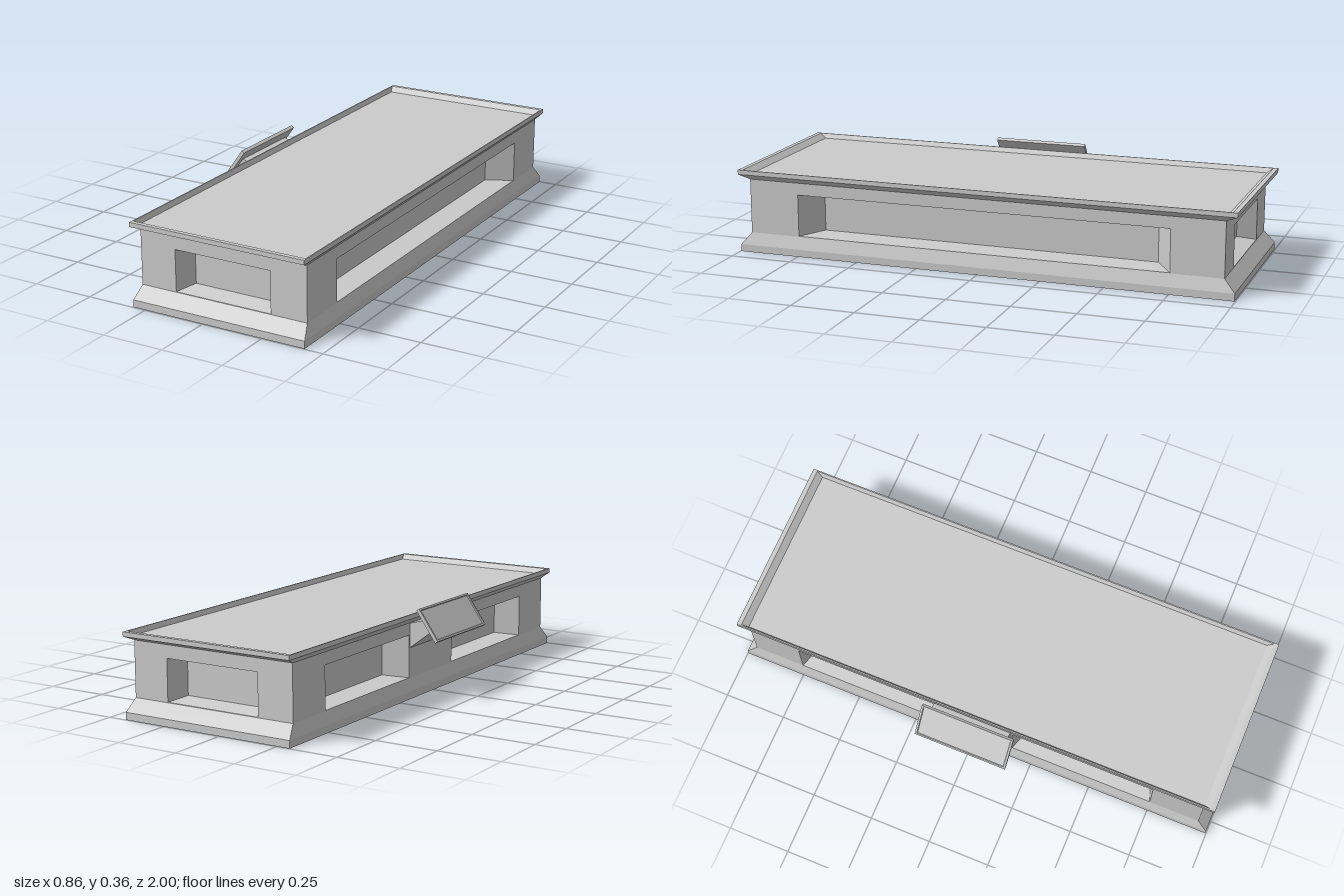
import * as THREE from 'three';

const material = new THREE.MeshStandardMaterial({
  color: 0xcccccc, flatShading: true, side: THREE.DoubleSide,
});
const CENTER_X = 0.061, HALF_X = 0.35, HALF_Z = 0.955;
const WALL_BOTTOM = 0.078, WALL_TOP = 0.295;

function mesh(name, geometry) {
  const m = new THREE.Mesh(geometry, material);
  m.name = name;
  return m;
}

// Joins quads, each given as four counter-clockwise corners
function quads(list) {
  const pos = [];
  for (const [a, b, c, d] of list) pos.push(...a, ...b, ...c, ...a, ...c, ...d);
  const g = new THREE.BufferGeometry();
  g.setAttribute('position', new THREE.Float32BufferAttribute(pos, 3));
  g.computeVertexNormals();
  return g;
}

// Skins quads between successive four-cornered loops
function skin(loops) {
  const list = [];
  for (let i = 0; i + 1 < loops.length; i++) {
    for (let k = 0; k < 4; k++) {
      const n = (k + 1) % 4;
      list.push([loops[i][k], loops[i][n], loops[i + 1][n], loops[i + 1][k]]);
    }
  }
  return quads(list);
}

// Stacks horizontal rectangles [halfX, halfZ, y]
const loft = (sections) => skin(sections.map(([x, z, y]) =>
  [[-x, y, z], [x, y, z], [x, y, -z], [-x, y, -z]]));

function rectPath(path, [x0, x1, y0, y1]) {
  path.moveTo(x0, y0);
  path.lineTo(x1, y0);
  path.lineTo(x1, y1);
  path.lineTo(x0, y1);
  path.closePath();
  return path;
}

// Flat wall facing +z with tapered recesses and optional plain openings
function wall(name, half, recesses, insetX, insetY, depth, openings = []) {
  const group = new THREE.Group();
  group.name = name;
  const shape = rectPath(new THREE.Shape(), [-half, half, WALL_BOTTOM, WALL_TOP]);
  for (const r of [...recesses, ...openings]) shape.holes.push(rectPath(new THREE.Path(), r));
  group.add(mesh(name + 'Face', new THREE.ShapeGeometry(shape)));
  for (const [x0, x1, y0, y1] of recesses) {
    const loop = (ix, iy, z) => [
      [x0 + ix, y0 + iy, z], [x1 - ix, y0 + iy, z],
      [x1 - ix, y1 - iy, z], [x0 + ix, y1 - iy, z],
    ];
    const mid = [(x0 + x1) / 2, (y0 + y1) / 2, -depth];
    group.add(mesh(name + 'Recess', skin([
      loop(0, 0, 0), loop(insetX, insetY, -depth), [mid, mid, mid, mid],
    ])));
  }
  return group;
}

export function createModel() {
  const model = new THREE.Group();
  model.name = 'lowPlatform';

  const body = new THREE.Group();
  body.name = 'body';
  body.position.x = CENTER_X;
  model.add(body);

  // Flared plinth, open underneath
  body.add(mesh('plinth', loft([
    [0.364, 0.997, 0], [0.364, 0.997, 0.029], [HALF_X, HALF_Z, WALL_BOTTOM],
  ])));

  // Flared top edge with a shallow dished deck
  body.add(mesh('deck', loft([
    [HALF_X, HALF_Z, WALL_TOP], [0.366, 1, 0.314], [0.366, 1, 0.332],
    [0.361, 0.982, 0.332], [0.352, 0.957, 0.313], [0, 0, 0.313],
  ])));

  // End walls
  for (const [name, angle, side] of [['frontWall', 0, 1], ['backWall', Math.PI, -1]]) {
    const end = wall(name, HALF_X, [[-0.201, 0.201, 0.08, 0.244]], 0.04, 0.016, 0.07);
    end.rotation.y = angle;
    end.position.z = side * HALF_Z;
    body.add(end);
  }

  // Long walls: one wide recess on the left, two around the bracket on the right
  const left = wall('leftWall', HALF_Z, [[-0.75, 0.75, 0.08, 0.247]], 0.07, 0.006, 0.1);
  left.rotation.y = Math.PI / 2;
  left.position.x = HALF_X;
  const right = wall('rightWall', HALF_Z,
    [[-0.75, -0.165, 0.08, 0.247], [0.165, 0.75, 0.08, 0.247]], 0.035, 0.006, 0.1,
    [[-0.16, 0.16, 0.197, 0.294]]);
  right.rotation.y = -Math.PI / 2;
  right.position.x = -HALF_X;
  body.add(left, right);

  // Hollow tapering bracket growing out of the right wall
  const bracketLoop = (x0, y0, x1, y1) => [
    [x0, y0, -0.16], [x0, y0, 0.16], [x1, y1, 0.16], [x1, y1, -0.16],
  ];
  model.add(mesh('bracket', skin([
    bracketLoop(-0.289, 0.197, -0.289, 0.294),
    bracketLoop(-0.39, 0.274, -0.362, 0.313),
  ])));

  // Tilted panel with a thin raised frame
  const panel = mesh('tiltedPanel', loft([
    [0, 0, 0], [0.072, 0.19, 0], [0.072, 0.19, 0.014],
    [0.065, 0.182, 0.014], [0.063, 0.18, 0.01], [0, 0, 0.01],
  ]));
  panel.position.set(-0.376, 0.2935, 0);
  panel.rotation.z = 0.958;
  model.add(panel);

  return model;
}
